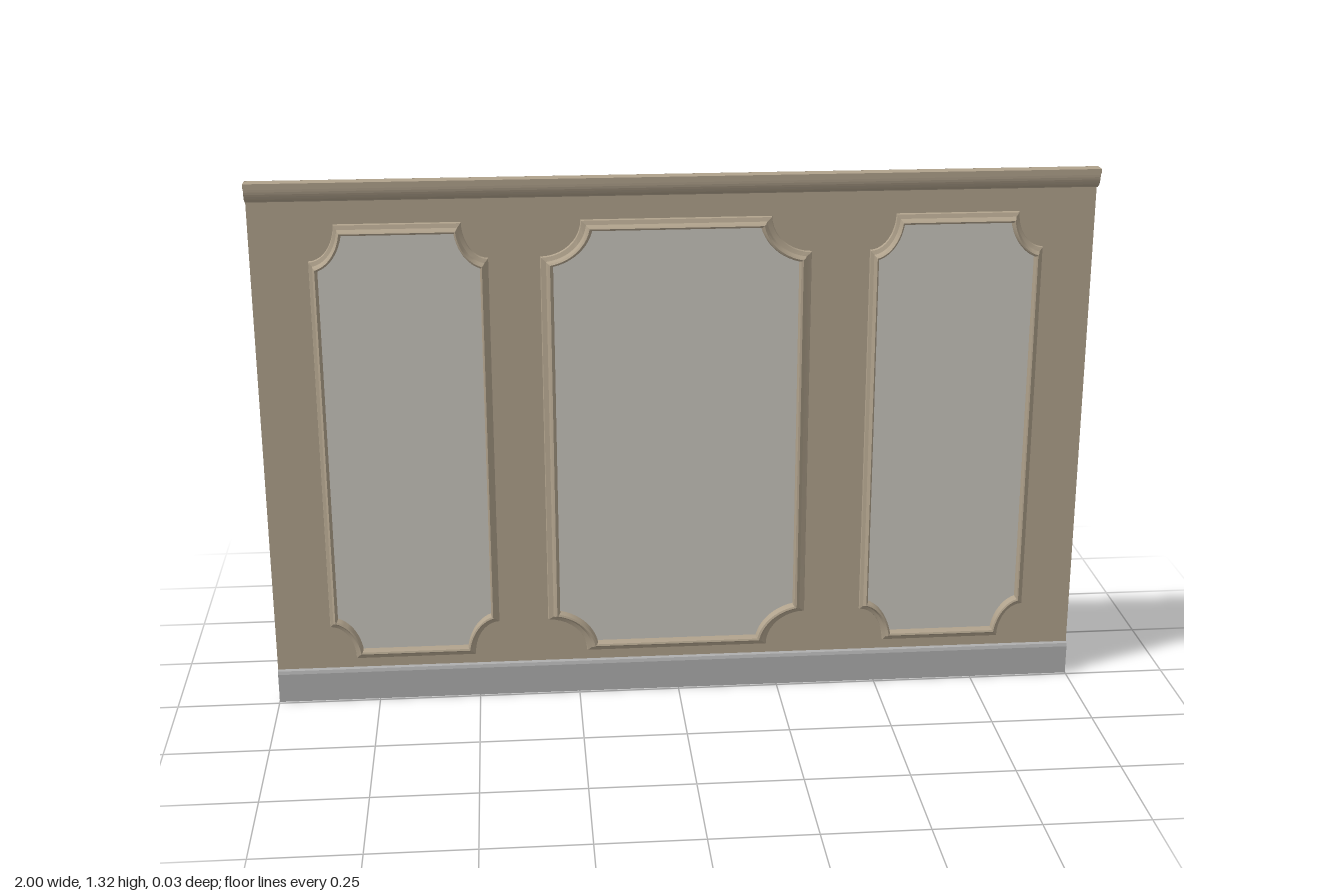
import * as THREE from 'three';
import { toCreasedNormals } from 'three/addons/utils/BufferGeometryUtils.js';

const BACK = -0.017;
const ARC_STEPS = 10;

// Rectangle outline with scooped corners, counter-clockwise, inset by t trim widths
function outline(p, t) {
  const pts = [];
  const a = p.notchX + t * p.trimX, b = p.notchY + t * p.trimY;
  const start = Math.asin(t * p.trimX / a), end = Math.acos(t * p.trimY / b);
  for (const [sx, sy] of [[1, 1], [-1, 1], [-1, -1], [1, -1]]) {
    for (let i = 0; i <= ARC_STEPS; i++) {
      const k = i / ARC_STEPS;
      const angle = THREE.MathUtils.lerp(start, end, sx * sy > 0 ? k : 1 - k);
      pts.push(new THREE.Vector2(
        p.x + sx * (p.width / 2 - a * Math.sin(angle)),
        p.y + sy * (p.height / 2 - b * Math.cos(angle))
      ));
    }
  }
  return pts;
}

// Moulding: a stepped profile (inset, depth) swept round the outline
function trimGeometry(p) {
  const profile = [[0, BACK], [0.06, -0.010], [0.45, -0.006], [0.6, 0.004],
    [0.75, 0.008], [0.92, 0.006], [1, -0.002], [1, BACK]];
  const positions = [], index = [];
  const n = 4 * (ARC_STEPS + 1);
  profile.forEach(([t, z], i) => {
    outline(p, t).forEach((v, j) => {
      positions.push(v.x, v.y, z);
      if (i === profile.length - 1) return;
      const k = (j + 1) % n;
      const q = [i * n + j, i * n + k, (i + 1) * n + k, (i + 1) * n + j];
      index.push(q[0], q[1], q[2], q[0], q[2], q[3]);
    });
  });
  const g = new THREE.BufferGeometry();
  g.setAttribute('position', new THREE.Float32BufferAttribute(positions, 3));
  g.setIndex(index);
  return toCreasedNormals(g, 0.4);
}

// Straight moulding running the full width, from a (z, y) section
function runGeometry(section) {
  const shape = new THREE.Shape(section.map(([z, y]) => new THREE.Vector2(z, y)));
  const g = new THREE.ExtrudeGeometry(shape, { depth: 2, bevelEnabled: false });
  return g.rotateY(-Math.PI / 2).translate(1, 0, 0);
}

export function createModel() {
  const model = new THREE.Group();
  model.name = 'wallPanelling';
  const material = (name, color) => {
    const m = new THREE.MeshStandardMaterial({ color });
    m.name = name;
    return m;
  };
  const tan = material('tan paint', 0xb0a28c);
  const pale = material('pale panel', 0xc9c6be);
  const grey = material('grey skirting', 0xaeaeae);
  tan.side = THREE.DoubleSide;

  const add = (parent, name, geometry, mat) => {
    const mesh = new THREE.Mesh(geometry, mat);
    mesh.name = name;
    parent.add(mesh);
    return mesh;
  };

  // Thin wall sheet
  add(model, 'wall', new THREE.PlaneGeometry(2, 1.32).translate(0, 0.66, BACK), tan);

  // Skirting board with a small chamfer; its ends are wall coloured
  const back = BACK + 0.0005;
  add(model, 'skirting', runGeometry([
    [back, 0], [-0.007, 0], [-0.007, 0.074], [-0.010, 0.082], [back, 0.085]
  ]), [tan, grey]);

  // Top rail: flat lip above a quarter-round cove
  const rail = [[back, 1.272], [-0.008, 1.272]];
  for (let i = 0; i <= 8; i++) {
    const a = (i / 8) * Math.PI / 2;
    rail.push([-0.006 + 0.017 * Math.sin(a), 1.305 - 0.03 * Math.cos(a)]);
  }
  rail.push([0.011, 1.309], [0.017, 1.309], [0.017, 1.32], [back, 1.32]);
  add(model, 'topRail', runGeometry(rail), tan);

  // Three framed panels
  const common = { y: 0.6625, height: 1.105, notchY: 0.087, trimY: 0.025 };
  const panels = [
    { name: 'rightPanel', x: -0.656, width: 0.418, notchX: 0.061, trimX: 0.02 },
    { name: 'centrePanel', x: -0.003, width: 0.645, notchX: 0.096, trimX: 0.03 },
    { name: 'leftPanel', x: 0.668, width: 0.418, notchX: 0.061, trimX: 0.02 }
  ];
  for (const spec of panels) {
    const p = { ...common, ...spec };
    const group = new THREE.Group();
    group.name = p.name;
    add(group, 'trim', trimGeometry(p), tan);
    const fill = new THREE.ShapeGeometry(new THREE.Shape(outline(p, 0.9)));
    add(group, 'fill', fill.translate(0, 0, BACK + 0.0015), pale);
    model.add(group);
  }
  return model;
}
